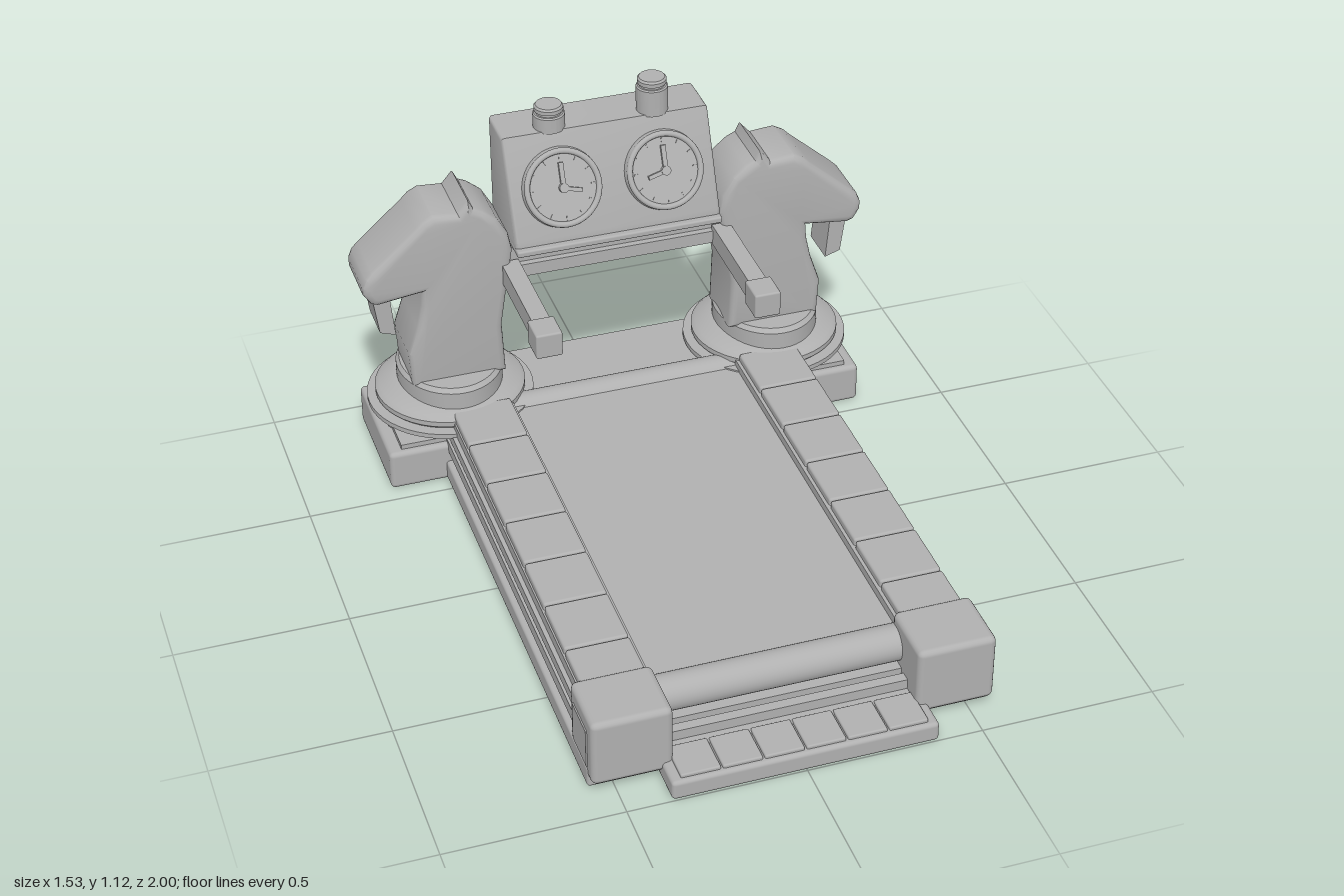
import * as THREE from 'three';
import { toCreasedNormals } from 'three/addons/utils/BufferGeometryUtils.js';
import { RoundedBoxGeometry } from 'three/addons/geometries/RoundedBoxGeometry.js';

export function createModel() {
  const model = new THREE.Group();
  model.name = 'treadmill';
  const grey = new THREE.MeshStandardMaterial({ color: 0xb0b0b0 });
  grey.name = 'plain grey';

  const add = (name, geometry, parent = model) => {
    const mesh = new THREE.Mesh(geometry, grey);
    mesh.name = name;
    parent.add(mesh);
    return mesh;
  };
  // Box given by its limits on each axis, with optional rounded edges
  const box = (name, [x0, x1], [y0, y1], [z0, z1], r = 0, parent = model) => {
    const w = Math.abs(x1 - x0), h = y1 - y0, d = z1 - z0;
    const g = r ? new RoundedBoxGeometry(w, h, d, 2, r) : new THREE.BoxGeometry(w, h, d);
    const m = add(name, g, parent);
    m.position.set((x0 + x1) / 2, (y0 + y1) / 2, (z0 + z1) / 2);
    return m;
  };
  const lathe = (name, pts, parent) => add(name, toCreasedNormals(
    new THREE.LatheGeometry(pts.map(p => new THREE.Vector2(...p)), 48), 0.5), parent);

  // Deck and rear base
  box('deckBase', [-0.57, 0.57], [0, 0.065], [-0.6, 0.88], 0.01);
  box('deckCore', [-0.36, 0.36], [0.06, 0.1], [-0.6, 0.8]);
  box('rearBase', [-0.74, 0.74], [0, 0.125], [-0.935, -0.55], 0.015);
  box('rearLowerTier', [-0.7, 0.7], [0.12, 0.14], [-0.9, -0.57]);
  box('rearUpperTier', [-0.715, 0.715], [0.14, 0.17], [-0.91, -0.66], 0.01);

  // Front step with six treads
  box('frontStep', [-0.375, 0.375], [0, 0.06], [0.8, 1], 0.012);
  for (let i = 0; i < 6; i++) {
    const x = -0.35 + i * 0.1167;
    box('stepTread', [x + 0.003, x + 0.114], [0.055, 0.07], [0.865, 0.985], 0.005);
  }
  box('frontSill', [-0.345, 0.345], [0.06, 0.095], [0.815, 0.845]);

  // Running belt and its rollers
  box('belt', [-0.35, 0.35], [0.11, 0.185], [-0.62, 0.73]);
  for (const z of [0.75, -0.62]) {
    const roller = add('roller', new THREE.CylinderGeometry(0.052, 0.052, 0.7, 32));
    roller.rotation.z = Math.PI / 2;
    roller.position.set(0, 0.153, z);
  }

  // Knight outline, seen from the front
  const outline = [[0.35, 0.285], [0.635, 0.285], [0.642, 0.4], [0.612, 0.49], [0.597, 0.56], [0.593, 0.607],
    [0.725, 0.59], [0.745, 0.598], [0.765, 0.63], [0.766, 0.655], [0.755, 0.682], [0.735, 0.702],
    [0.6, 0.82], [0.58, 0.84], [0.55, 0.856], [0.475, 0.85], [0.4425, 0.887], [0.428, 0.858],
    [0.4, 0.845], [0.36, 0.812], [0.328, 0.755], [0.317, 0.7], [0.34, 0.56], [0.357, 0.45]];

  for (const s of [1, -1]) {
    const side = s > 0 ? 'left' : 'right';

    // Stepped side rail and top tiles
    const rail = new THREE.Group();
    rail.name = side + 'Rail';
    model.add(rail);
    for (const [x, y0, y1] of [[0.55, 0.06, 0.097], [0.562, 0.097, 0.134], [0.548, 0.134, 0.145],
      [0.558, 0.145, 0.178], [0.545, 0.178, 0.21]])
      box('railLayer', [s * 0.35, s * x], [y0, y1], [-0.6, 0.75], 0, rail);
    for (let i = 0; i < 7; i++) {
      const z = 0.78 - i * 0.195;
      box('railTile', [s * 0.36, s * 0.54], [0.2, 0.232], [z - 0.19, z], 0.008, rail);
    }

    // Front corner post with side panel
    box(side + 'CornerPost', [s * 0.342, s * 0.567], [0.03, 0.237], [0.72, 0.915], 0.018);
    box('postPanel', [s * 0.562, s * 0.571], [0.07, 0.19], [0.755, 0.875]);

    // Knight on a turned pedestal
    const knight = new THREE.Group();
    knight.name = side + 'Knight';
    model.add(knight);
    const pedestal = new THREE.Group();
    pedestal.name = 'pedestal';
    pedestal.position.set(s * 0.5, 0, -0.75);
    knight.add(pedestal);
    lathe('pedestalDisc', [[0, 0.165], [0.235, 0.165], [0.235, 0.175], [0.25, 0.175], [0.25, 0.19], [0.215, 0.19],
      [0.225, 0.2], [0.225, 0.216], [0.212, 0.228], [0.16, 0.245], [0, 0.245]], pedestal);
    const collar = lathe('collar', [[0, 0.23], [0.157, 0.23], [0.157, 0.29], [0.147, 0.303], [0, 0.303]], pedestal);
    collar.scale.z = 1.2;

    const shape = new THREE.Shape(outline.map(([x, y]) => new THREE.Vector2(s * x, y)));
    const bevel = 0.022;
    const body = new THREE.ExtrudeGeometry(shape, {
      depth: 0.21 - 2 * bevel, bevelEnabled: true, bevelSize: bevel, bevelOffset: -bevel,
      bevelThickness: bevel, bevelSegments: 3,
    });
    body.translate(0, 0, -0.847 + bevel);
    add('horseBody', toCreasedNormals(body, 0.6), knight);

    // Slanted jaw piece hanging under the muzzle
    const jaw = new THREE.Shape([[0.68, 0.61], [0.67, 0.457], [0.717, 0.473], [0.732, 0.61]]
      .map(([x, y]) => new THREE.Vector2(s * (x + (y > 0.6 ? 0.004 : 0)), y)));
    const jawGeometry = new THREE.ExtrudeGeometry(jaw, { depth: 0.125, bevelEnabled: false });
    jawGeometry.translate(0, 0, -0.805);
    add('jaw', jawGeometry, knight);

    // Hand bar and grip
    box(side + 'HandBar', [s * 0.298, s * 0.352], [0.593, 0.657], [-0.66, -0.32]);
    box(side + 'Grip', [s * 0.287, s * 0.365], [0.585, 0.663], [-0.333, -0.242], 0.006);
  }

  // Cross beam and ledge
  box('lowerBeam', [-0.34, 0.34], [0.6, 0.64], [-0.82, -0.65]);
  box('upperBeam', [-0.34, 0.34], [0.64, 0.695], [-0.83, -0.67]);
  box('ledge', [-0.313, 0.313], [0.692, 0.712], [-0.87, -0.605], 0.006);

  // Console housing with sloped face
  const b = 0.012;
  const profile = new THREE.Shape([[0.887, 0.7], [0.887, 1.015], [0.745, 1.015], [0.625, 0.73], [0.625, 0.7]]
    .map(([x, y]) => new THREE.Vector2(x, y)));
  const housing = new THREE.ExtrudeGeometry(profile, {
    depth: 0.626 - 2 * b, bevelEnabled: true, bevelSize: b, bevelOffset: -b, bevelThickness: b, bevelSegments: 3,
  });
  housing.translate(0, 0, -0.313 + b);
  housing.rotateY(Math.PI / 2);
  add('console', toCreasedNormals(housing, 0.6));

  // Dials lying on the sloped face
  for (const s of [1, -1]) {
    const dial = new THREE.Group();
    dial.name = s > 0 ? 'leftDial' : 'rightDial';
    dial.position.set(s * 0.155, 0.862, -0.681);
    dial.rotation.x = -Math.atan2(0.12, 0.285);
    model.add(dial);
    const disc = add('dialDisc', new THREE.CylinderGeometry(0.115, 0.12, 0.024, 48), dial);
    disc.rotation.x = Math.PI / 2;
    disc.position.z = 0.008;
    add('dialRim', new THREE.TorusGeometry(0.108, 0.009, 10, 48), dial).position.z = 0.02;
    const hub = add('hub', new THREE.CylinderGeometry(0.014, 0.014, 0.016, 20), dial);
    hub.rotation.x = Math.PI / 2;
    hub.position.z = 0.026;
    box('longHand', [-0.007, 0.007], [0, 0.075], [0.018, 0.03], 0, dial);
    const hand = box('shortHand', [0, -s * 0.055], [-0.006, 0.006], [0.018, 0.03], 0, dial);
    hand.rotation.z = s * 0.25;
    hand.position.y = -0.008;
    for (let i = 0; i < 12; i++) {
      const a = i * Math.PI / 6;
      const tick = box('tick', [-0.002, 0.002], [-0.006, 0.006], [0.018, 0.023], 0, dial);
      tick.position.x = Math.sin(a) * 0.09;
      tick.position.y = Math.cos(a) * 0.09;
      tick.rotation.z = -a;
    }
  }

  // Push buttons on top, one pressed lower than the other
  for (const [x, h] of [[-0.16, 0.05], [0.153, 0.085]]) {
    const y = 1.01;
    const button = lathe('button', [[0, y], [0.047, y], [0.047, y + h - 0.004], [0.043, y + h], [0.038, y + h],
      [0.038, y + h + 0.006], [0.043, y + h + 0.008], [0.043, y + h + 0.02], [0.038, y + h + 0.026], [0, y + h + 0.026]]);
    button.position.set(x, 0, -0.78);
  }

  return model;
}
